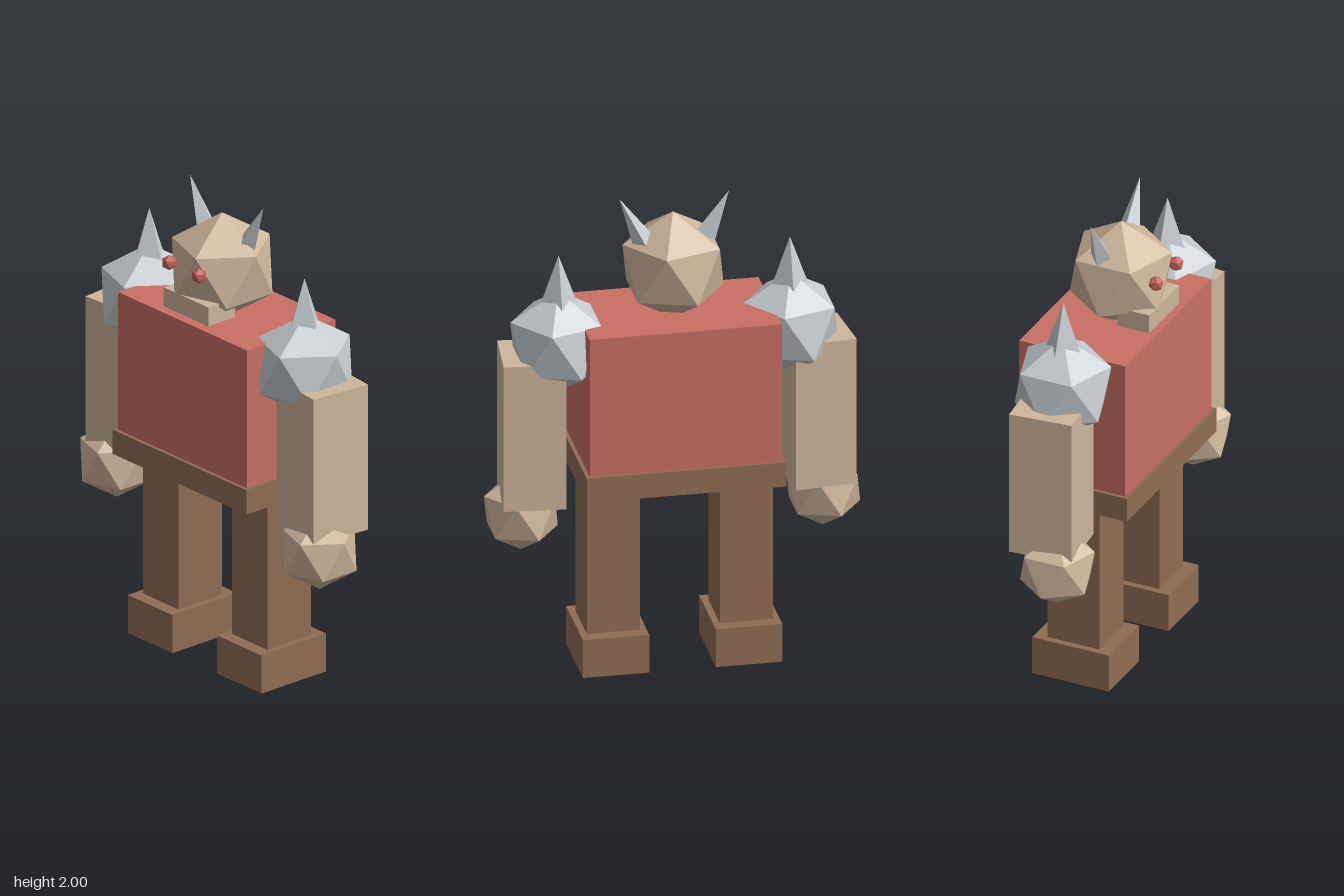
import * as THREE from 'three';
import { ConvexGeometry } from 'three/addons/geometries/ConvexGeometry.js';

const material = (name, color) => {
  const m = new THREE.MeshStandardMaterial({ color });
  m.name = name;
  return m;
};

// Icosahedron standing on a vertex: two poles and two staggered rings of five
function poleIcosahedron(r) {
  const points = [new THREE.Vector3(0, r, 0), new THREE.Vector3(0, -r, 0)];
  for (const s of [1, -1]) {
    for (let i = 0; i < 5; i++) {
      const a = (i / 5) * Math.PI * 2;
      points.push(new THREE.Vector3(s * 0.8944 * r * Math.cos(a), s * 0.4472 * r, 0.8944 * r * Math.sin(a)));
    }
  }
  return new ConvexGeometry(points);
}

// Four-sided spike with flat faces
const spike = (r, h) => new THREE.ConeGeometry(r, h, 4).toNonIndexed();

export function createModel() {
  const model = new THREE.Group();
  model.name = 'golem';

  const skin = material('tan skin', 0xceb69c);
  const red = material('red tunic', 0xc96f64);
  const eyeRed = material('eye red', 0xc2605a);
  const leather = material('brown leather', 0x906d54);
  const metal = material('pale grey metal', 0xc6ccd0);

  function add(name, geometry, mat, x, y, z) {
    geometry.deleteAttribute('normal');
    const flat = geometry.index ? geometry.toNonIndexed() : geometry;
    flat.computeVertexNormals();
    const mesh = new THREE.Mesh(flat, mat);
    mesh.name = name;
    mesh.position.set(x, y, z);
    model.add(mesh);
    return mesh;
  }
  const box = (w, h, d) => new THREE.BoxGeometry(w, h, d);

  // Body
  add('torso', box(0.78, 0.62, 0.47), red, 0, 1.192, 0);
  add('belt', box(0.81, 0.105, 0.5), leather, 0, 0.852, 0);

  // Head
  add('head', poleIcosahedron(0.23), skin, 0, 1.685, 0.025);
  add('jaw', box(0.27, 0.082, 0.14), skin, 0, 1.559, 0.146);

  for (const [side, s] of [['left', 1], ['right', -1]]) {
    // Face details
    add(side + 'Eye', poleIcosahedron(0.033), eyeRed, s * 0.09, 1.725, 0.225);
    const horn = add(side + 'Horn', spike(0.064, 0.3), metal, s * 0.155, 1.866, 0);
    horn.rotation.z = -s * 0.47;

    // Shoulder armour
    add(side + 'ShoulderPad', poleIcosahedron(0.217), metal, s * 0.472, 1.402, 0);
    add(side + 'ShoulderSpike', spike(0.125, 0.35), metal, s * 0.47, 1.6, 0);

    // Arm, turned slightly outward, and fist
    const arm = add(side + 'Arm', box(0.252, 0.63, 0.266), skin, s * 0.578, 1.045, 0);
    arm.rotation.y = -s * 0.1;
    add(side + 'Fist', poleIcosahedron(0.168), skin, s * 0.614, 0.655, 0.045);

    // Leg and foot
    add(side + 'Leg', box(0.215, 0.64, 0.23), leather, s * 0.27, 0.47, 0);
    add(side + 'Foot', box(0.27, 0.165, 0.34), leather, s * 0.27, 0.0825, 0);
  }
  return model;
}
